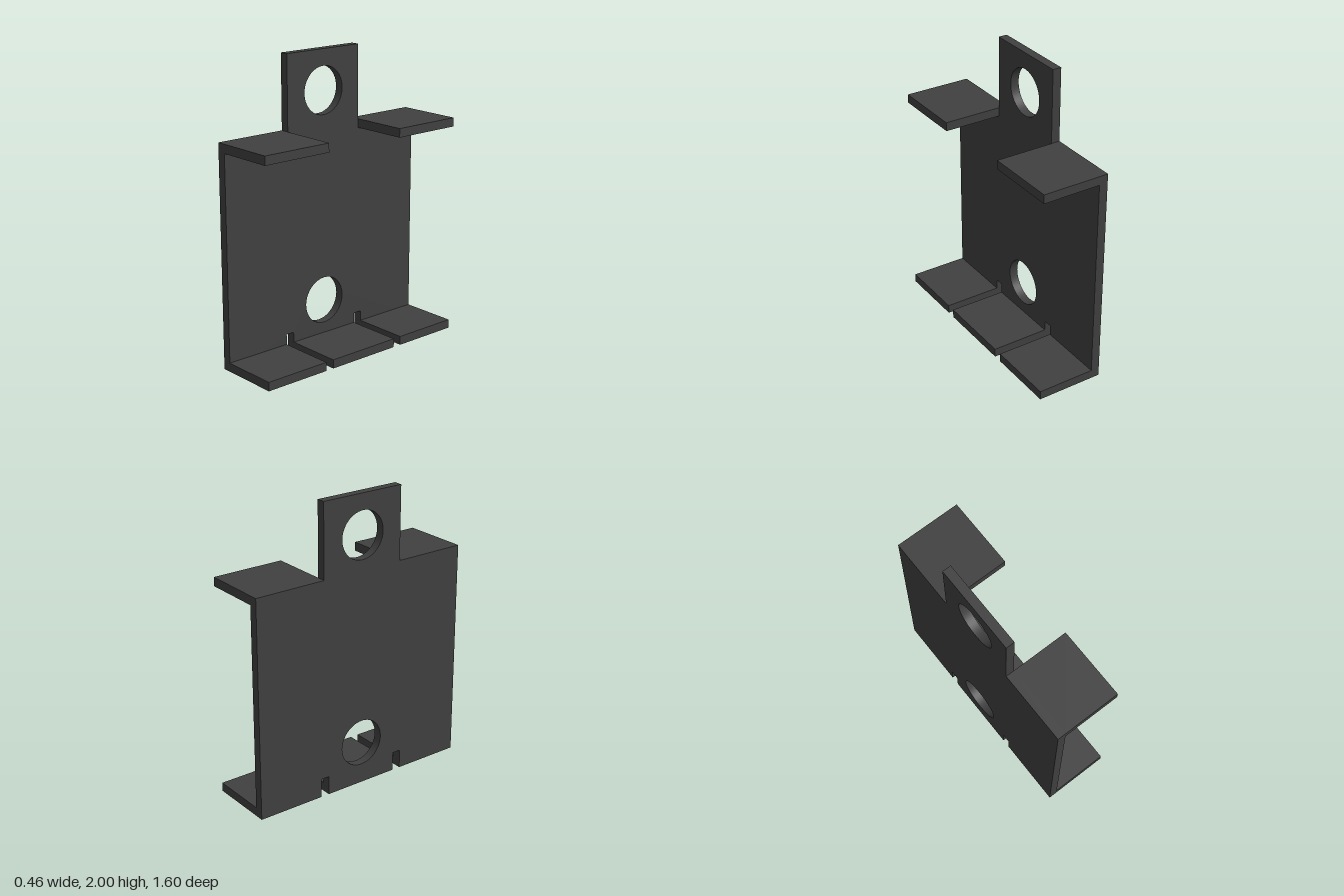
import * as THREE from 'three';
import { toCreasedNormals } from 'three/addons/utils/BufferGeometryUtils.js';

const T = 0.06;       // sheet thickness
const BACK = -0.23;   // outer face of the plate
const FRONT = 0.23;   // free edge of the flanges

export function createModel() {
  const group = new THREE.Group();
  group.name = 'mountingBracket';
  const material = new THREE.MeshStandardMaterial({ color: 0x404040 });

  function add(name, geometry) {
    const mesh = new THREE.Mesh(geometry, material);
    mesh.name = name;
    group.add(mesh);
    return mesh;
  }

  // Upright plate: outline in (z, y), half listed and mirrored
  const half = [[0.27, 0], [0.27, 0.13], [0.33, 0.13], [0.33, 0], [0.8, 0], [0.8, 1.5], [0.3, 1.5], [0.3, 2]];
  const mirrored = half.map(([z, y]) => [-z, y]).reverse();
  const outline = new THREE.Shape([...half, ...mirrored].map(([z, y]) => new THREE.Vector2(z, y)));

  // Round holes in the tab and near the base
  for (const y of [1.73, 0.295]) {
    outline.holes.push(new THREE.Path().absarc(0, y, 0.16, 0, Math.PI * 2, true));
  }
  const plate = new THREE.ExtrudeGeometry(outline, { depth: T, bevelEnabled: false, curveSegments: 32 });
  plate.rotateY(-Math.PI / 2).translate(BACK + T, 0, 0);
  add('plate', toCreasedNormals(plate, 0.6));

  // Flanges bent out from the plate
  function flange(name, y, z0, z1) {
    const width = FRONT - BACK - T;
    const geometry = new THREE.BoxGeometry(width, T, Math.abs(z1 - z0));
    add(name, geometry).position.set(FRONT - width / 2, y + T / 2, (z0 + z1) / 2);
  }
  flange('bottomMiddleFlange', 0, -0.27, 0.27);
  for (const [side, s] of [['front', 1], ['back', -1]]) {
    flange(side + 'BottomFlange', 0, 0.33 * s, 0.8 * s);
    flange(side + 'TopFlange', 1.44, 0.3 * s, 0.8 * s);
  }

  return group;
}
